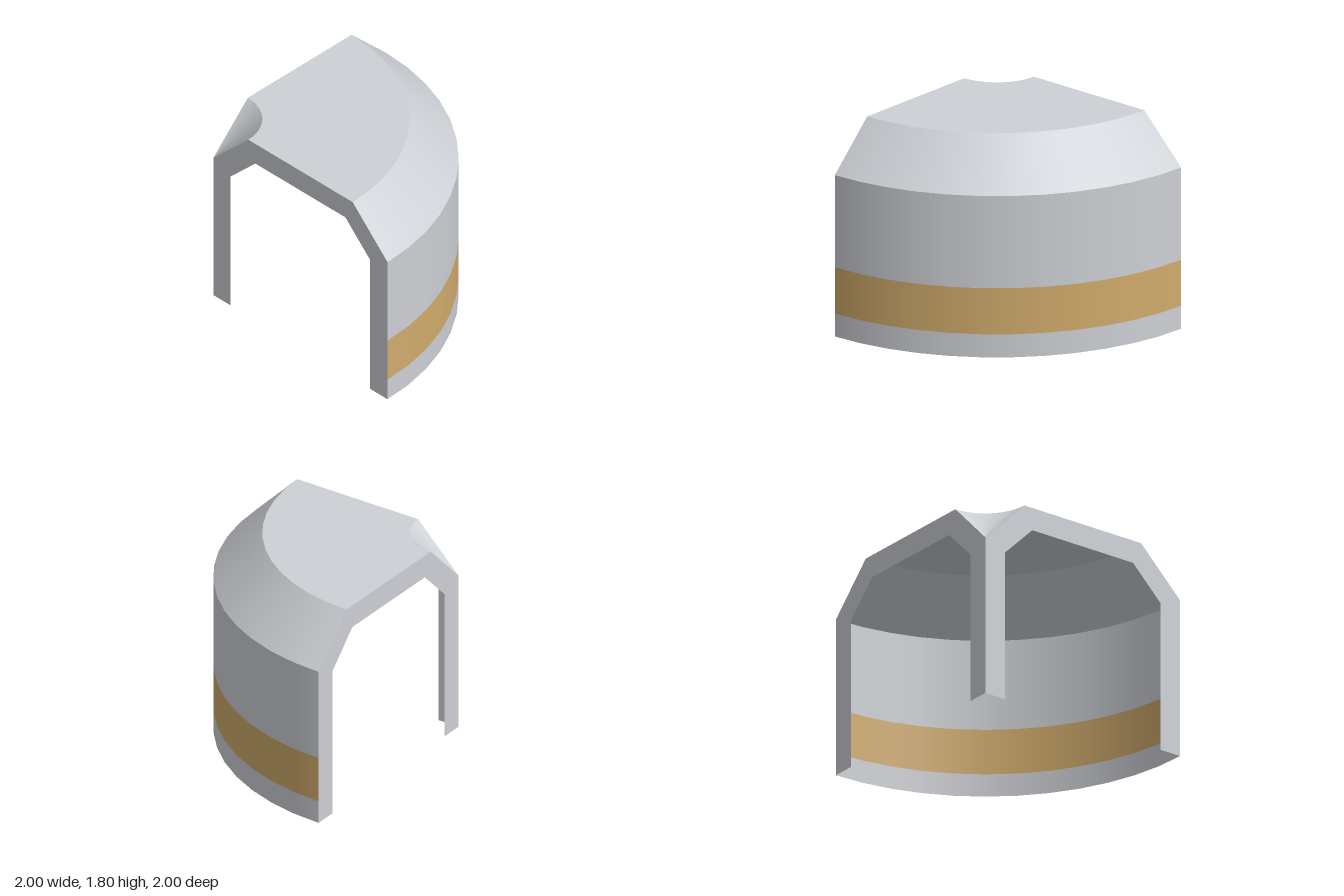
import * as THREE from 'three';

export function createModel() {
  const model = new THREE.Group();
  model.name = 'quarterShell';

  const material = (name, color) => {
    const m = new THREE.MeshStandardMaterial({ color, side: THREE.DoubleSide });
    m.name = name;
    return m;
  };
  const grey = material('light grey', 0xcdd0d5);
  const gold = material('gold', 0xd1ab6c);

  const add = (name, geometry, mat) => {
    geometry.translate(-1, 0, -1); // the axis of revolution is the back corner
    const mesh = new THREE.Mesh(geometry, mat);
    mesh.name = name;
    model.add(mesh);
  };

  // Outer skin: one quarter turn for each [name, r0, y0, r1, y1, material],
  // kept separate so the rims stay sharp
  const skin = [
    ['lowerWall', 2, 0, 2, 0.2, grey],
    ['wallBand', 2, 0.2, 2, 0.6, gold],
    ['upperWall', 2, 0.6, 2, 1.4, grey],
    ['shoulder', 2, 1.4, 1.6, 1.8, grey],
    ['roof', 1.6, 1.8, 0.4, 1.8, grey],
    ['funnel', 0.4, 1.8, 0, 1.4, grey],
  ];
  for (const [name, r0, y0, r1, y1, mat] of skin) {
    const profile = [new THREE.Vector2(r0, y0), new THREE.Vector2(r1, y1)];
    add(name, new THREE.LatheGeometry(profile, 12, 0, Math.PI / 2), mat);
  }

  // Cut faces: the profile with a wall 0.2 thick, on both straight sides
  const section = [
    [0, 0], [0.2, 0], [0.2, 1.317], [0.483, 1.6], [1.517, 1.6], [1.8, 1.317],
    [1.8, 0], [2, 0], [2, 1.4], [1.6, 1.8], [0.4, 1.8], [0, 1.4],
  ];
  const cutFace = (side) => new THREE.ShapeGeometry(
    new THREE.Shape(section.map(([r, y]) => new THREE.Vector2(side * r, y))));
  add('backCutFace', cutFace(-1).rotateY(Math.PI), grey);
  add('sideCutFace', cutFace(1).rotateY(-Math.PI / 2), grey);

  return model;
}
